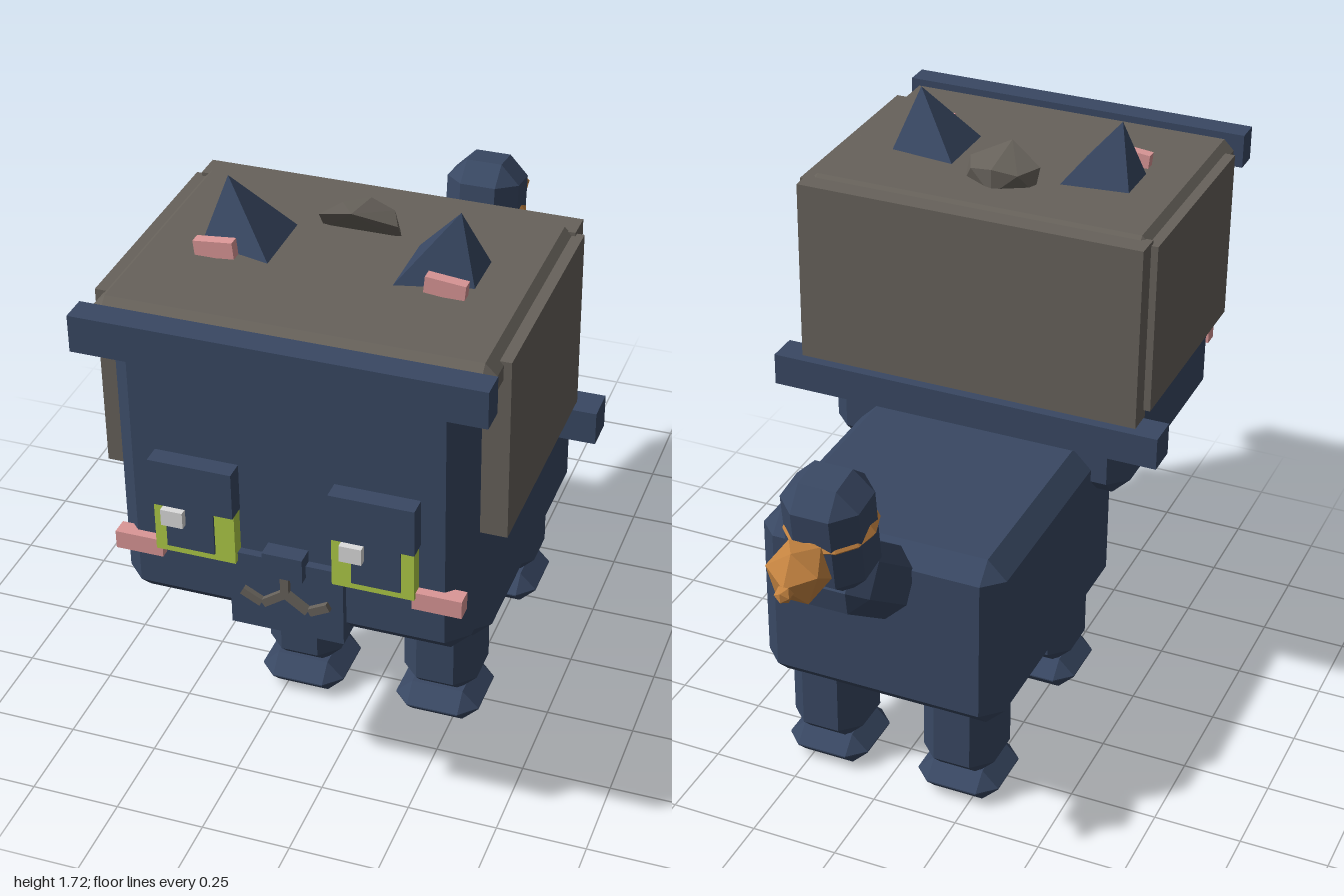
import * as THREE from 'three';
import { ConvexGeometry } from 'three/addons/geometries/ConvexGeometry.js';

const mat = (name, color) => {
  const m = new THREE.MeshStandardMaterial({ color, flatShading: true });
  m.name = name;
  return m;
};

// Convex solid from a few corner points
const hull = (pts) => new ConvexGeometry(pts.map((p) => new THREE.Vector3(...p)));

// Box with all edges and corners cut by c
function chamferBox(w, h, d, c) {
  const pts = [];
  for (const sx of [-1, 1]) for (const sy of [-1, 1]) for (const sz of [-1, 1]) {
    const [x, y, z] = [w / 2, h / 2, d / 2], k = c;
    pts.push([sx * x, sy * (y - k), sz * (z - k)]);
    pts.push([sx * (x - k), sy * y, sz * (z - k)]);
    pts.push([sx * (x - k), sy * (y - k), sz * z]);
  }
  return hull(pts);
}

export function createModel() {
  const group = new THREE.Group();
  const navy = mat('navy fur', 0x394863);
  const gray = mat('gray hood', 0x67625b);
  const pink = mat('pink', 0xdb9797);
  const green = mat('green eye', 0xafcb47);
  const white = mat('eye highlight', 0xdcdcdc);
  const orange = mat('orange bell', 0xc58441);

  const add = (name, geo, material, x = 0, y = 0, z = 0) => {
    const m = new THREE.Mesh(geo, material);
    m.name = name;
    m.position.set(x, y, z);
    group.add(m);
    return m;
  };
  // Box given by its extents, with optional chamfer
  const span = (name, material, [x0, x1], [y0, y1], [z0, z1], c = 0) => {
    const size = [x1 - x0, y1 - y0, z1 - z0];
    const geo = c ? chamferBox(...size, c) : new THREE.BoxGeometry(...size);
    return add(name, geo, material, (x0 + x1) / 2, (y0 + y1) / 2, (z0 + z1) / 2);
  };
  // The same extents mirrored to the side s
  const side = (s, a, b) => (s > 0 ? [a, b] : [-b, -a]);

  // Body and head
  span('body', navy, [-0.36, 0.36], [0.31, 0.845], [-0.47, 0.41], 0.055);
  span('head', navy, [-0.46, 0.46], [0.7, 1.48], [0.195, 0.935], 0.053);

  // Hood: top slab, back plate, brow bar and neck bar
  span('hoodTop', gray, [-0.51, 0.51], [1.45, 1.55], [0.165, 0.905], 0.03);
  span('hoodBack', gray, [-0.51, 0.51], [0.99, 1.54], [0.125, 0.2]);
  span('browBar', navy, [-0.525, 0.525], [1.45, 1.55], [0.92, 0.992]);
  span('neckBar', navy, [-0.585, 0.585], [0.905, 1.0], [0.095, 0.19]);

  // Small tilted tuft on the hood
  const tuft = [[0, 1.635, 0.45], [0, 1.605, 0.3], [0, 1.53, 0.3], [0, 1.53, 0.36]];
  for (const s of [-1, 1]) {
    tuft.push([s * 0.105, 1.59, 0.4], [s * 0.105, 1.53, 0.36], [s * 0.07, 1.59, 0.32]);
  }
  add('hoodTuft', hull(tuft), gray);

  for (const s of [-1, 1]) {
    span('hoodSide', gray, side(s, 0.45, 0.53), [1.028, 1.53], [0.185, 0.825]);

    // Ears leaning outward, with a pink patch in front
    add('ear', hull([
      [s * 0.36, 1.54, 0.42], [s * 0.155, 1.54, 0.395],
      [s * 0.155, 1.54, 0.615], [s * 0.36, 1.54, 0.565], [s * 0.303, 1.72, 0.505],
    ]), navy);
    add('innerEar', new THREE.BoxGeometry(0.105, 0.045, 0.03), pink, s * 0.3, 1.572, 0.61)
      .rotation.z = s * -0.0 + s * -0.1;

    // Eyes: green plate, dark pupil and heavy lid
    span('eye', green, side(s, 0.127, 0.34), [0.895, 1.05], [0.92, 0.972]);
    span('pupil', navy, side(s, 0.18, 0.307), [0.915, 1.05], [0.93, 0.978]);
    span('eyelid', navy, side(s, 0.125, 0.345), [1.04, 1.17], [0.92, 0.985]);
    span('cheek', pink, side(s, 0.33, 0.458), [0.86, 0.91], [0.915, 0.96]);

    // Mouth strokes on each side
    const stroke = (x0, y0, x1, y1) => {
      const len = Math.hypot(x1 - x0, y1 - y0) + 0.01;
      add('mouth', new THREE.BoxGeometry(len, 0.022, 0.02), gray,
        s * (x0 + x1) / 2, (y0 + y1) / 2, 0.962).rotation.z = s * Math.atan2(y1 - y0, x1 - x0);
    };
    stroke(0.005, 0.825, 0.055, 0.79);
    stroke(0.068, 0.79, 0.11, 0.812);

    // Legs and paws
    for (const [legZ, pawZ] of [[0.27, 0.28], [-0.31, -0.298]]) {
      add('leg', chamferBox(0.215, 0.35, 0.22, 0.053), navy, s * 0.203, 0.26, legZ);
      add('paw', chamferBox(0.245, 0.1, 0.245, 0.048), navy, s * 0.203, 0.05, pawZ);
    }
  }
  // Highlights sit on the same side of both eyes
  for (const x of [-0.283, 0.185]) {
    span('eyeHighlight', white, [x - 0.029, x + 0.029], [0.99, 1.036], [0.96, 0.998]);
  }

  // Muzzle, nose and centre of mouth
  span('muzzle', navy, [-0.15, 0.15], [0.7, 0.92], [0.91, 0.957]);
  span('nose', navy, [-0.053, 0.053], [0.885, 0.953], [0.93, 0.982]);
  span('mouth', gray, [-0.011, 0.011], [0.82, 0.885], [0.952, 0.972]);

  // Tail in two segments
  add('tailBase', chamferBox(0.22, 0.37, 0.2, 0.05), navy, 0, 0.82, -0.585).rotation.x = -0.95;
  add('tailTip', chamferBox(0.22, 0.33, 0.21, 0.057), navy, 0, 1.045, -0.713).rotation.x = -0.14;

  // Ring with bell on the tail
  const ring = add('tailRing', new THREE.TorusGeometry(0.105, 0.02, 5, 12), orange, 0, 1.058, -0.71);
  ring.rotation.x = Math.PI / 2 - 0.16;
  add('bell', new THREE.IcosahedronGeometry(0.085, 0), orange, 0, 1.02, -0.895).rotation.x = 0.55;
  add('bellKnob', new THREE.IcosahedronGeometry(0.025, 0), orange, 0, 1.003, -0.976);

  return group;
}
